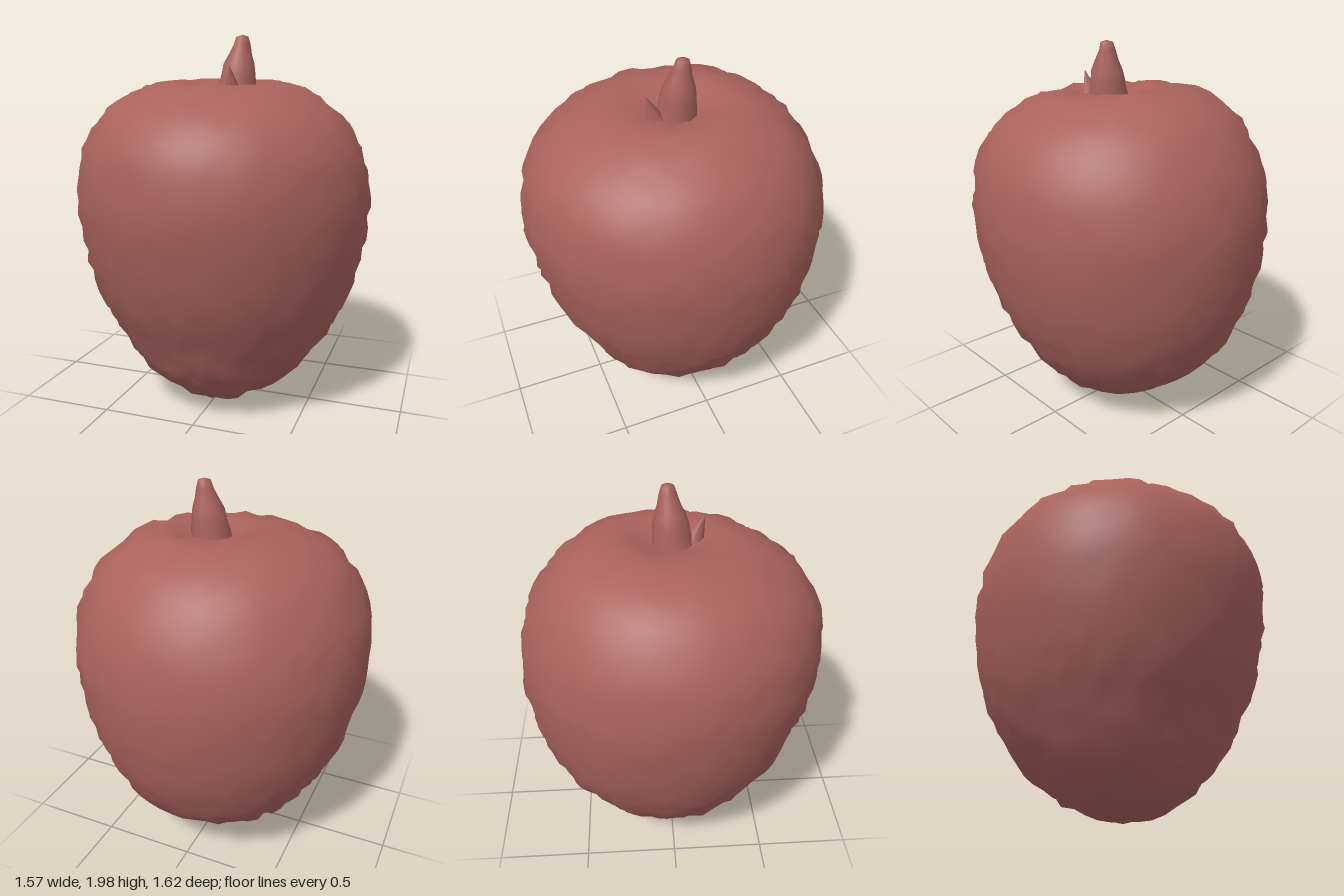
import * as THREE from 'three';
import { mergeVertices } from 'three/addons/utils/BufferGeometryUtils.js';

const { clamp, smoothstep } = THREE.MathUtils;

// Small seeded generator, returns -1..1
function makeNoise(seed) {
  return () => {
    seed = (seed * 1664525 + 1013904223) % 4294967296;
    return seed / 2147483648 - 1;
  };
}

// Weld a geometry and move each vertex by a rule
function reshape(geometry, rule) {
  geometry.deleteAttribute('uv');
  geometry.deleteAttribute('normal');
  const welded = mergeVertices(geometry, 1e-4);
  const pos = welded.attributes.position;
  const p = new THREE.Vector3();
  for (let i = 0; i < pos.count; i++) {
    rule(p.fromBufferAttribute(pos, i));
    pos.setXYZ(i, p.x, p.y, p.z);
  }
  welded.computeVertexNormals();
  return welded;
}

// Push vertices along their normals; keep the shading softer than the bumps
function roughen(geometry, amount, softness, seed) {
  const noise = makeNoise(seed);
  const pos = geometry.attributes.position;
  const smooth = geometry.attributes.normal.clone();
  const p = new THREE.Vector3(), n = new THREE.Vector3(), b = new THREE.Vector3();
  for (let i = 0; i < pos.count; i++) {
    p.fromBufferAttribute(pos, i);
    n.fromBufferAttribute(smooth, i);
    p.addScaledVector(n, noise() * amount(p));
    pos.setXYZ(i, p.x, p.y, p.z);
  }
  geometry.computeVertexNormals();
  const nor = geometry.attributes.normal;
  for (let i = 0; i < pos.count; i++) {
    p.fromBufferAttribute(pos, i);
    n.fromBufferAttribute(nor, i);
    b.fromBufferAttribute(smooth, i);
    n.lerp(b, softness(p)).normalize();
    nor.setXYZ(i, n.x, n.y, n.z);
  }
}

export function createModel() {
  const model = new THREE.Group();
  const skin = new THREE.MeshStandardMaterial({ color: 0xa9625b });
  skin.name = 'reddish brown skin';

  // Fruit body: an even-grained ball mapped onto a profile with a rounded base,
  // wide shoulders and a dimple under the stem
  const profile = new THREE.SplineCurve([
    [0, 0.025], [0.14, 0.04], [0.28, 0.1], [0.41, 0.2], [0.51, 0.31], [0.595, 0.44],
    [0.68, 0.62], [0.74, 0.82], [0.775, 1.05], [0.775, 1.22], [0.735, 1.41],
    [0.635, 1.58], [0.5, 1.69], [0.36, 1.745], [0.23, 1.75], [0.11, 1.715], [0, 1.69],
  ].map(([r, y]) => new THREE.Vector2(r, y)));
  const body = reshape(new THREE.IcosahedronGeometry(1, 13).rotateX(0.4), (p) => {
    const around = Math.atan2(p.x, p.z);
    const q = profile.getPointAt(1 - Math.acos(clamp(p.y, -1, 1)) / Math.PI);
    const dimple = q.y > 1.5 ? Math.max(0, 1 - q.x / 0.5) : 0;
    const x = q.x * Math.sin(around), z = q.x * Math.cos(around);
    // The crown tips a little forward and the base sits a little forward
    const crown = smoothstep(q.y, 1.4, 1.75);
    p.set(
      x + 0.07 * dimple,
      q.y - crown * (0.05 * z + 0.02 * x),
      1.02 * z + 0.05 * (q.y - 1) * (1 - dimple) + 0.07 * (1 - smoothstep(q.y, 0.05, 0.5)),
    );
  });
  // Coarser shading towards the base
  roughen(body, () => 0.016, (p) => 0.4 + 0.45 * smoothstep(p.y, 0.2, 0.9), 7);
  const bodyMesh = new THREE.Mesh(body, skin);
  bodyMesh.name = 'fruitBody';
  model.add(bodyMesh);

  // Short blunt stem, leaning slightly to the left
  const stemProfile = [
    [0.11, 1.68], [0.1, 1.74], [0.092, 1.8], [0.08, 1.85], [0.06, 1.9],
    [0.045, 1.95], [0.032, 1.99], [0, 2.0],
  ].map(([r, y]) => new THREE.Vector2(r, y));
  const stem = reshape(new THREE.LatheGeometry(stemProfile, 10), (p) => {
    const t = (p.y - 1.69) / 0.31;
    p.x += 0.07 + 0.03 * t;
    p.z += 0.025 - 0.025 * t;
  });
  roughen(stem, (p) => (p.y > 1.96 ? 0 : 0.006), () => 0.5, 21);
  const stemMesh = new THREE.Mesh(stem, skin);
  stemMesh.name = 'stem';
  model.add(stemMesh);

  // Small pointed flap at the front foot of the stem
  const flap = new THREE.ConeGeometry(0.06, 0.18, 6);
  flap.rotateX(0.35);
  const flapMesh = new THREE.Mesh(flap, skin);
  flapMesh.name = 'stemFlap';
  flapMesh.position.set(0.09, 1.755, 0.155);
  model.add(flapMesh);

  return model;
}
